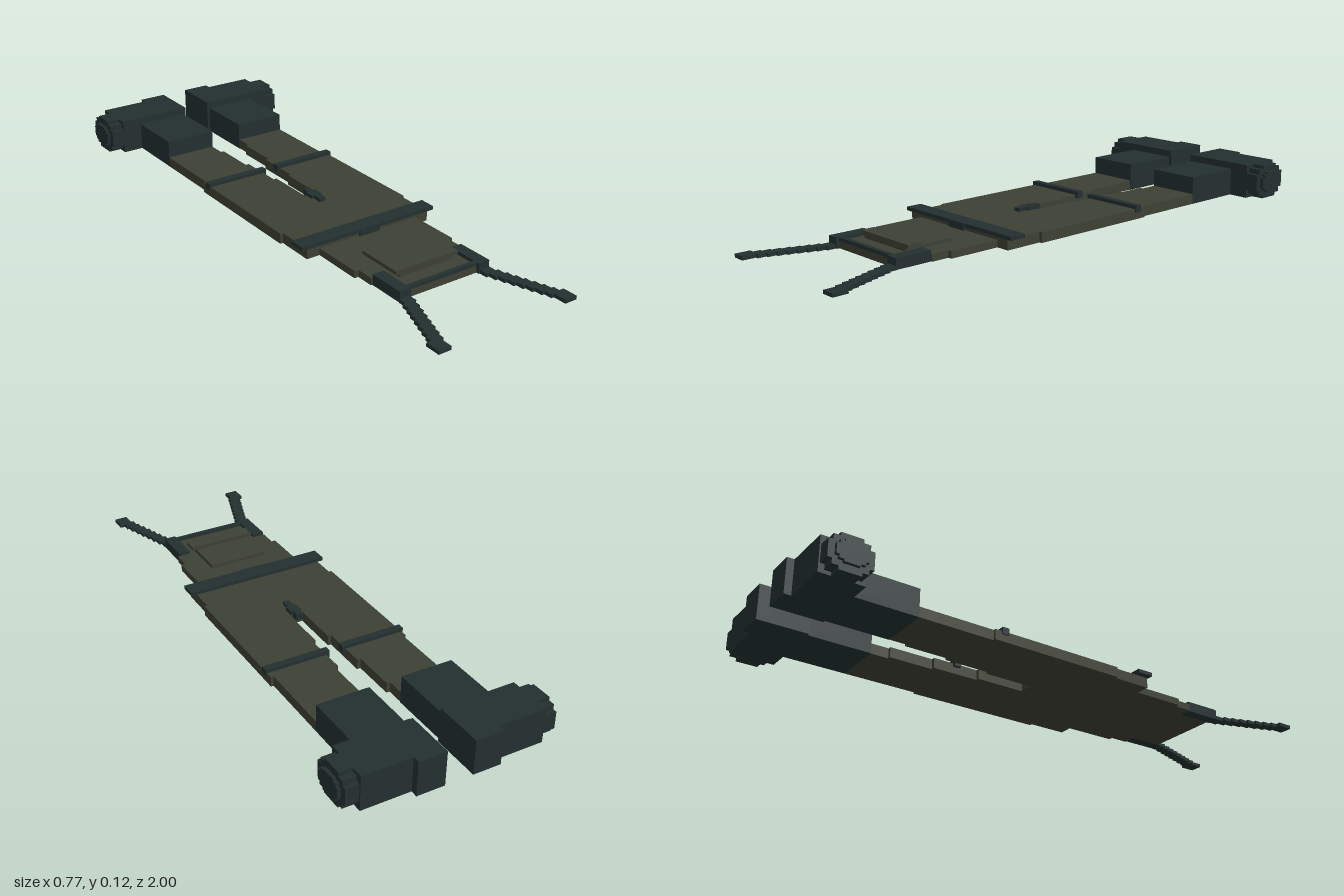
import * as THREE from 'three';

const olive = new THREE.MeshStandardMaterial({ color: 0x3d4033 });
olive.name = 'olive cloth';
const dark = new THREE.MeshStandardMaterial({ color: 0x232f30 });
dark.name = 'dark rubber';

export function createModel() {
  const group = new THREE.Group();
  group.name = 'waders';

  // Block given by its limits on each axis
  const block = (name, mat, x0, x1, y0, y1, z0, z1) => {
    const mesh = new THREE.Mesh(new THREE.BoxGeometry(x1 - x0, y1 - y0, z1 - z0), mat);
    mesh.position.set((x0 + x1) / 2, (y0 + y1) / 2, (z0 + z1) / 2);
    mesh.name = name;
    group.add(mesh);
  };
  // Same block on both sides
  const pair = (name, mat, x0, x1, ...rest) => {
    block(name + 'Left', mat, x0, x1, ...rest);
    block(name + 'Right', mat, -x1, -x0, ...rest);
  };

  // Trousers: waist, hips and stepped legs
  block('waist', olive, -0.25, 0.25, 0, 0.037, 0.18, 0.32);
  block('hips', olive, -0.26, 0.26, 0, 0.037, -0.02, 0.18);
  const legSteps = [
    [0.025, 0.26, -0.2, -0.02],
    [0.037, 0.26, -0.32, -0.2],
    [0.037, 0.25, -0.37, -0.32],
    [0.05, 0.25, -0.53, -0.37],
    [0.062, 0.25, -0.595, -0.53],
  ];
  for (const [x0, x1, z0, z1] of legSteps) pair('leg', olive, x0, x1, 0, 0.037, z0, z1);

  // Belt, leg bands and fly
  block('belt', dark, -0.272, 0.272, 0.037, 0.05, 0.265, 0.325);
  block('beltBuckle', dark, -0.04, 0.04, 0.025, 0.05, 0.31, 0.328);
  pair('legBand', dark, 0.025, 0.265, 0.025, 0.05, -0.295, -0.27);
  block('flyTop', dark, -0.02, 0.02, 0.025, 0.05, -0.02, 0.018);
  block('fly', dark, -0.012, 0.012, 0.025, 0.05, -0.045, 0.055);

  // Bib with pocket
  block('bibLower', olive, -0.2, 0.2, 0, 0.025, 0.32, 0.51);
  block('bibMiddle', olive, -0.185, 0.185, 0, 0.025, 0.51, 0.575);
  block('bibUpper', olive, -0.14, 0.14, 0, 0.025, 0.575, 0.7);
  block('pocket', olive, -0.11, 0.11, 0.025, 0.037, 0.43, 0.62);
  block('pocketFlap', olive, -0.125, 0.125, 0.037, 0.05, 0.57, 0.622);
  block('bibTrim', dark, -0.14, 0.14, 0.025, 0.037, 0.685, 0.7);

  // Braces: stepped straps splaying outwards
  pair('strapMount', dark, 0.137, 0.18, 0, 0.037, 0.575, 0.71);
  const steps = 8;
  for (let i = 0; i < steps; i++) {
    const x = 0.162 + 0.072 * i / (steps - 1);
    const z = 0.71 + 0.03 * i;
    pair('strap', dark, x - 0.02, x + 0.02, 0, 0.0125, z, z + 0.032);
  }
  pair('strapEnd', dark, 0.225, 0.272, 0, 0.0125, 0.945, 1);

  // Boots: shaft, foot and heel
  pair('bootShaft', dark, 0.06, 0.25, 0, 0.1, -0.82, -0.595);
  pair('bootFoot', dark, 0.06, 0.325, 0, 0.125, -0.975, -0.818);
  pair('bootHeel', dark, 0.05, 0.15, 0, 0.125, -1, -0.82);

  // Rounded toe caps as overlapping stepped slabs
  const toe = (x0, x1, ry, rz) => {
    for (const [fy, fz] of [[1, 0.5], [0.8, 0.8], [0.5, 1]]) {
      pair('toeCap', dark, x0, x1, 0.0625 - ry * fy, 0.0625 + ry * fy, -0.894 - rz * fz, -0.894 + rz * fz);
    }
  };
  toe(0.32, 0.372, 0.0625, 0.076);
  toe(0.37, 0.384, 0.038, 0.054);

  return group;
}
